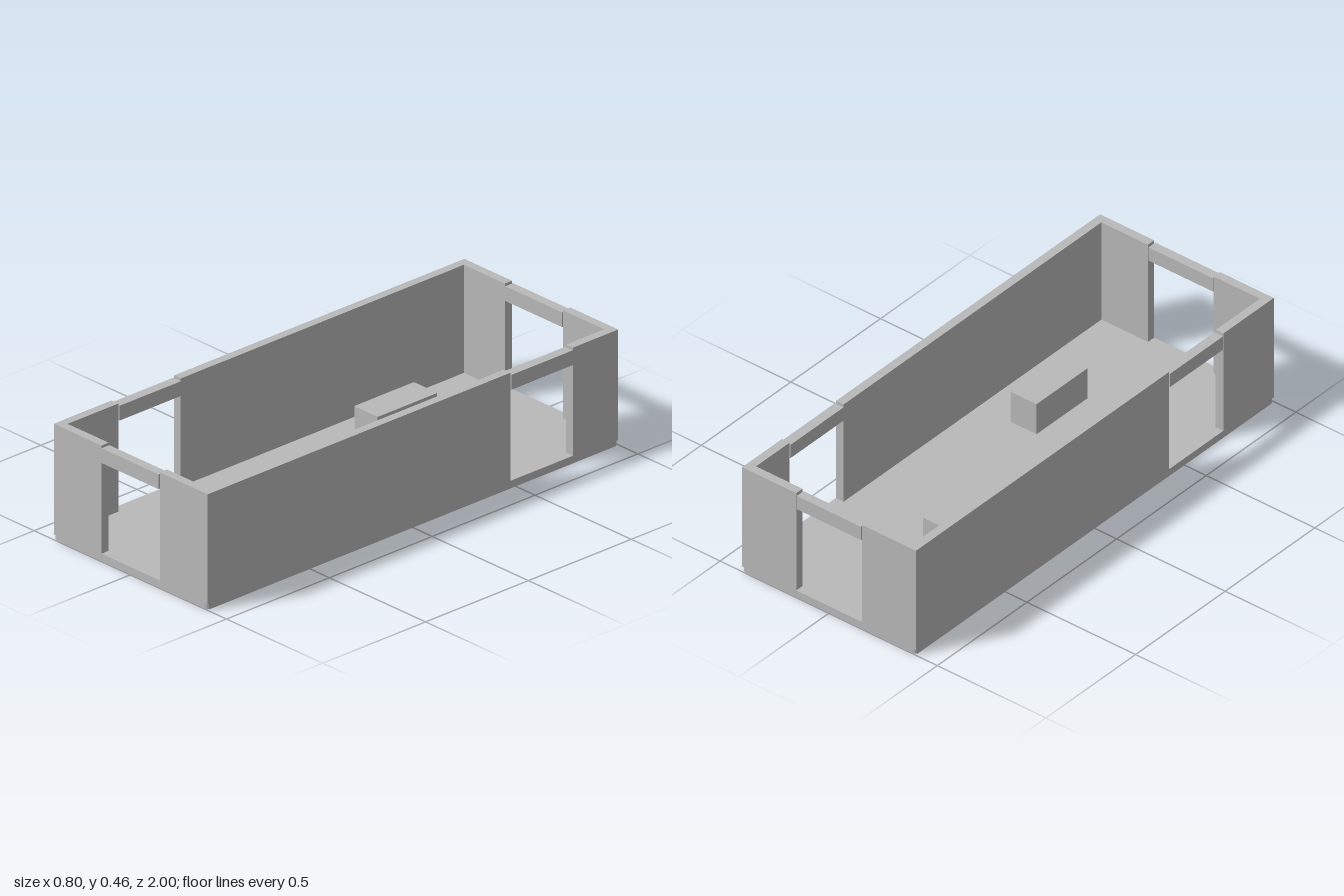
import * as THREE from 'three';

const material = new THREE.MeshStandardMaterial({ color: 0xb9b9b9 });
material.name = 'plain grey';

// Box given by its min and max along each axis
function block(name, [x0, x1], [y0, y1], [z0, z1]) {
  const mesh = new THREE.Mesh(new THREE.BoxGeometry(x1 - x0, y1 - y0, z1 - z0), material);
  mesh.position.set((x0 + x1) / 2, (y0 + y1) / 2, (z0 + z1) / 2);
  mesh.name = name;
  return mesh;
}

// Upright slab whose four vertical corners are rounded in plan
function roundedSlab(name, [x0, x1], [y0, y1], [z0, z1], r) {
  const w = (x1 - x0) / 2, d = (z1 - z0) / 2;
  const shape = new THREE.Shape();
  shape.absarc(w - r, d - r, r, 0, Math.PI / 2);
  shape.absarc(-w + r, d - r, r, Math.PI / 2, Math.PI);
  shape.absarc(-w + r, -d + r, r, Math.PI, Math.PI * 1.5);
  shape.absarc(w - r, -d + r, r, Math.PI * 1.5, Math.PI * 2);
  const geometry = new THREE.ExtrudeGeometry(shape, { depth: y1 - y0, bevelEnabled: false, curveSegments: 3 });
  geometry.rotateX(-Math.PI / 2);
  const mesh = new THREE.Mesh(geometry, material);
  mesh.position.set((x0 + x1) / 2, y0, (z0 + z1) / 2);
  mesh.name = name;
  return mesh;
}

export function createModel() {
  const model = new THREE.Group();
  model.name = 'openRoom';

  const X = 0.4, Z = 0.998, T = 0.035;   // outer half sizes and wall thickness
  const wallY = [0.02, 0.455], lintelY = [0.388, 0.446];

  // Floor with rounded corners that show below the walls
  model.add(roundedSlab('floor', [-X, X], [0, 0.03], [-Z, Z], 0.017));

  // End walls, each with a central doorway and a lintel
  for (const [end, s] of [['front', 1], ['back', -1]]) {
    const span = (a, b) => (s > 0 ? [a, b] : [-b, -a]);
    model.add(
      block(end + 'WallRight', [-X, -0.152], wallY, span(Z - T, Z)),
      block(end + 'WallLeft', [0.151, X], wallY, span(Z - T, Z)),
      block(end + 'Lintel', [-0.149, 0.147], lintelY, span(0.962, 1))
    );
  }

  // Side walls, each with one doorway near an end
  const inner = Z - T;
  for (const [side, s, d0, d1] of [['left', 1, -0.777, -0.475], ['right', -1, 0.414, 0.716]]) {
    const span = (a, b) => (s > 0 ? [a, b] : [-b, -a]);
    model.add(
      block(side + 'WallBack', span(X - T, X), wallY, [-inner, d0]),
      block(side + 'WallFront', span(X - T, X), wallY, [d1, inner]),
      block(side + 'Lintel', span(0.362, 0.402), lintelY, [d0 + 0.002, d1 - 0.003])
    );
  }

  // Two raised blocks inside the room
  const blockY = [0.063, 0.194];
  model.add(
    roundedSlab('backBlock', [-0.179, -0.056], blockY, [-0.546, -0.255], 0.005),
    roundedSlab('frontBlock', [0.069, 0.191], blockY, [0.243, 0.531], 0.005)
  );
  return model;
}
